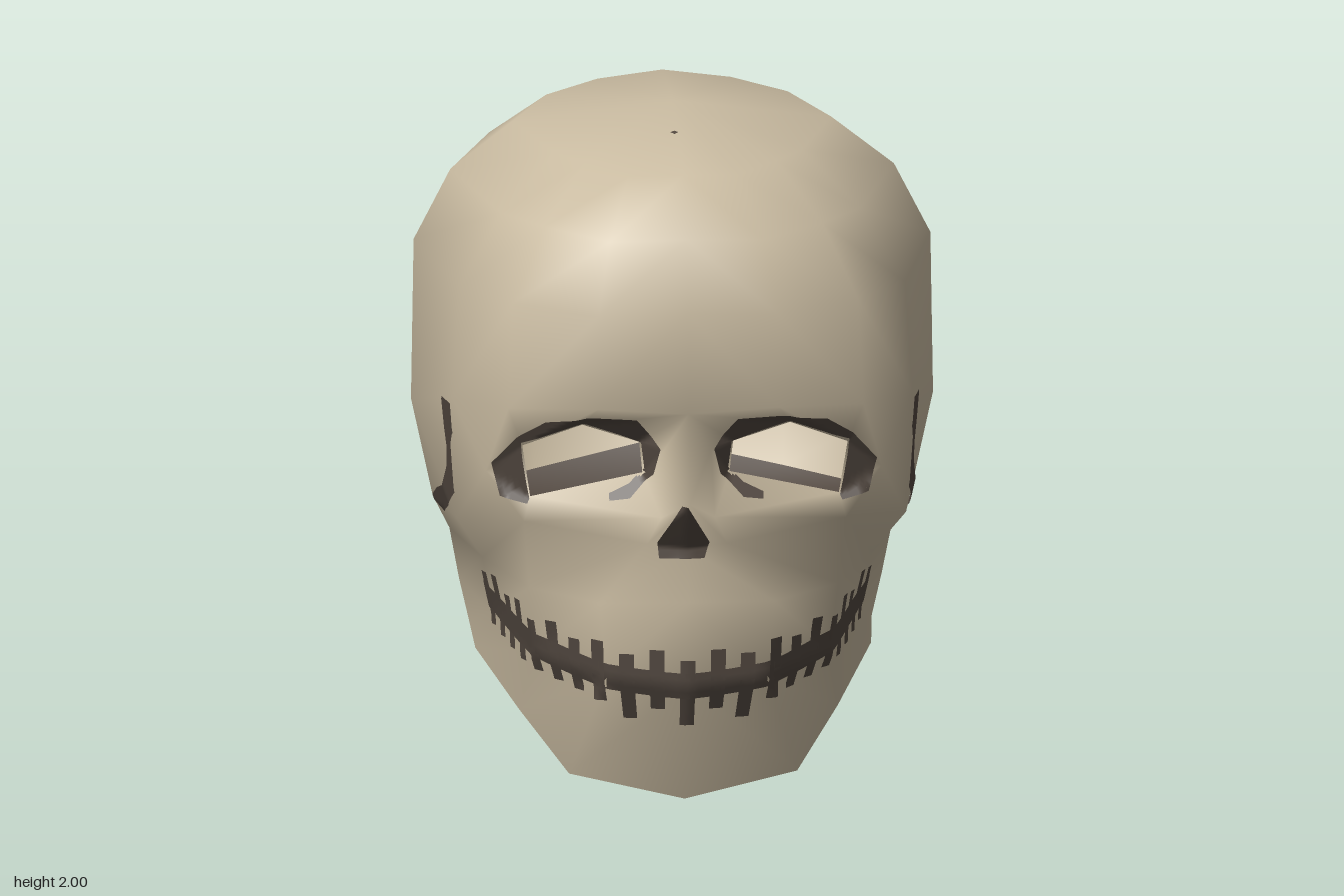
import * as THREE from 'three';

const bone = new THREE.MeshStandardMaterial({ name: 'bone', color: 0xc9bba1, side: THREE.DoubleSide });
const dark = new THREE.MeshStandardMaterial({ name: 'darkHollow', color: 0x524840, side: THREE.DoubleSide });

// Mirrored surface from named points (x >= 0) and groups of faces, one material per group
function mirroredMesh(name, points, groups) {
  const pos = [], ids = {}, index = [];
  for (const [key, [x, y, z]] of Object.entries(points)) {
    const right = pos.push(x, y, z) / 3 - 1;
    ids[key] = [right, x === 0 ? right : pos.push(-x, y, z) / 3 - 1];
  }
  const geo = new THREE.BufferGeometry();
  groups.forEach(({ faces }, m) => {
    const start = index.length;
    for (const f of faces) {
      const k = f.split(' ');
      for (let i = 1; i < k.length - 1; i++) {
        const [a, b, c] = [ids[k[0]], ids[k[i]], ids[k[i + 1]]];
        index.push(a[0], b[0], c[0], a[1], c[1], b[1]);
      }
    }
    geo.addGroup(start, index.length - start, m);
  });
  geo.setAttribute('position', new THREE.Float32BufferAttribute(pos, 3));
  geo.setIndex(index);
  geo.computeVertexNormals();
  const mesh = new THREE.Mesh(geo, groups.map(g => g.material));
  mesh.name = name;
  return mesh;
}

// Quads between two named rows, upper row first
function band(upper, lower, from, to) {
  const out = [];
  for (let c = from; c < to; c++) out.push(`${upper}${c} ${lower}${c} ${lower}${c + 1} ${upper}${c + 1}`);
  return out;
}

const lerp = THREE.MathUtils.lerp;
const ray = new THREE.Raycaster();

// Thin painted ribbon laid on the surface; each rail pair is [u1, v1, u2, v2] and toRay maps (u, v) to a ray
function paint(name, target, pairs, toRay, along = 8, across = 5) {
  const pos = [], ok = [], index = [], n = across + 1;
  const rows = (pairs.length - 1) * along;
  for (let i = 0; i <= rows; i++) {
    const k = Math.min(Math.floor(i / along), pairs.length - 2), t = i / along - k;
    const p = pairs[k].map((v, j) => lerp(v, pairs[k + 1][j], t));
    for (let j = 0; j <= across; j++) {
      const { origin, dir } = toRay(lerp(p[0], p[2], j / across), lerp(p[1], p[3], j / across));
      ray.set(origin, dir);
      const hit = ray.intersectObject(target)[0];
      const good = hit && hit.distance < 2.6;
      ok.push(good);
      const q = good ? hit.point.clone().addScaledVector(dir, -0.006) : origin;
      pos.push(q.x, q.y, q.z);
    }
  }
  for (let i = 0; i < rows; i++) for (let j = 0; j < across; j++) {
    const a = i * n + j, b = a + 1, c = a + n, d = c + 1;
    if (ok[a] && ok[b] && ok[c] && ok[d]) index.push(a, c, b, b, c, d);
  }
  const geo = new THREE.BufferGeometry();
  geo.setAttribute('position', new THREE.Float32BufferAttribute(pos, 3));
  geo.setIndex(index);
  geo.computeVertexNormals();
  const mesh = new THREE.Mesh(geo, dark);
  mesh.name = name;
  return mesh;
}

export function createModel() {
  const group = new THREE.Group();
  group.name = 'skull';
  const P = { A: [0, 2, 0.05] };
  const row = (name, first, pts) => pts.forEach((p, i) => { P[name + (first + i)] = p; });

  // Cranium rings: name, width scale, corner pull, front y and z, back y and z
  const plan = [[0, 0.82], [0.27, 0.83], [0.53, 0.69], [0.685, 0.52], [0.778, 0], [0.67, -0.51], [0.37, -0.81], [0, -0.885]];
  for (const [name, sx, pull, yF, zF, yB, zB] of [
    ['B', 0.61, 0.88, 1.89, 0.57, 1.97, -0.49],
    ['C', 0.85, 0.92, 1.73, 0.74, 1.84, -0.66],
    ['D', 0.99, 0.98, 1.52, 0.81, 1.63, -0.76],
    ['E', 1, 1, 1.22, 0.83, 1.16, -0.885],
  ]) {
    row(name, 0, plan.map(([x, z], c) => {
      const zz = z > 0 ? z * zF / 0.83 : z * zB / -0.885;
      const k = [2, 3, 5, 6].includes(c) ? pull : 1;
      return [x * sx * k, lerp(yB, yF, (zz - zB) / (zF - zB)), zz * k];
    }));
  }
  P.E1[1] = 1.24;
  P.E4[1] = 1.09;
  P.E5[1] = 1.13;

  // Jaw rim, tooth line, upper jaw and cheek rows, from the middle to the jaw corner
  row('L', 0, [[0, 0, 0.62], [0.34, 0.065, 0.55], [0.475, 0.21, 0.32], [0.59, 0.34, 0.06], [0.6, 0.39, -0.08]]);
  row('M', 0, [[0, 0.38, 0.785], [0.24, 0.4, 0.74], [0.44, 0.43, 0.52], [0.55, 0.48, 0.2], [0.63, 0.52, -0.08]]);
  row('N', 0, [[0, 0.64, 0.8], [0.26, 0.63, 0.75], [0.46, 0.64, 0.57], [0.58, 0.66, 0.25], [0.66, 0.68, -0.06]]);
  row('O', 0, [[0, 0.8, 0.775], [0.12, 0.81, 0.755], [0.48, 0.86, 0.65], [0.67, 0.83, 0.46], [0.71, 0.78, -0.05]]);

  // Nose tip, nose sides, outer eye corner and eye opening
  P.T = [0, 0.96, 0.89];
  P.Q = [0.08, 0.9, 0.8];
  P.R = [0.07, 1.1, 0.77];
  P.P = [0.59, 1, 0.58];
  row('h', 0, [[0.14, 1.11, 0.7], [0.31, 1.165, 0.7], [0.485, 1.09, 0.64], [0.46, 0.93, 0.62], [0.13, 1.015, 0.69]]);

  // Lower back of the cranium and its base
  row('F', 5, [[0.665, 0.9, -0.53], [0.38, 0.92, -0.78], [0, 0.92, -0.84]]);
  row('G', 4, [[0.64, 0.66, -0.1], [0.63, 0.685, -0.51], [0.37, 0.72, -0.65], [0, 0.79, -0.725]]);
  row('H', 4, [[0.5, 0.53, -0.12], [0.5, 0.62, -0.42], [0.3, 0.66, -0.57], [0, 0.67, -0.61]]);
  row('I', 5, [[0.36, 0.55, -0.32], [0.2, 0.55, -0.33], [0, 0.55, -0.33]]);
  P.K = [0, 0.51, -0.13];

  const crown = [0, 1, 2, 3, 4, 5, 6].map(c => `A B${c} B${c + 1}`);
  const face = [
    'h1 E1 E0', 'h0 h1 E0', 'R h0 E0', 'h2 E2 E1', 'h1 h2 E1', 'h2 P E2', 'h2 h3 P', 'h3 O2 P',
    'h3 Q O2', 'h3 h4 Q', 'h4 R Q', 'h4 h0 R', 'T R E0', 'T Q R', 'O1 Q T', 'O0 O1 T', 'O1 O2 Q',
    'P E3 E2', 'P O3 E3', 'O2 O3 P', 'O3 O4 E4 E3',
  ];
  const back = ['E4 O4 F5 E5', ...band('E', 'F', 5, 7), 'O4 G4 G5 F5', ...band('F', 'G', 5, 7), 'O4 N4 G4'];
  const skull = mirroredMesh('skullShell', P, [
    { material: bone, faces: [...crown, ...band('B', 'C', 0, 7), ...band('C', 'D', 0, 7), ...band('D', 'E', 0, 7),
      ...face, ...band('O', 'N', 0, 4), ...band('N', 'M', 0, 4), ...band('M', 'L', 0, 4), ...back] },
  ]);
  group.add(skull);

  // Dark base of the cranium
  const { K, H4, G4, N4, M4 } = P;
  const pick = re => Object.fromEntries(Object.entries(P).filter(([key]) => re.test(key)));
  group.add(mirroredMesh('craniumBase', pick(/^[GHIK]/), [
    { material: dark, faces: [...band('G', 'H', 4, 7), 'H4 I5 H5', ...band('H', 'I', 5, 7), 'H4 K I5', 'I5 K I6', 'I6 K I7'] },
  ]));

  // Underside of the jaw: bone rim around a dark hollow
  const under = { ...pick(/^L/), K, G4, N4, M4, U4: H4, V: [0, 0.44, 0.25] };
  [[0, 0.18, 0.52], [0.21, 0.23, 0.44], [0.32, 0.32, 0.26], [0.4, 0.43, 0.06]].forEach((p, i) => { under['U' + i] = p; });
  group.add(mirroredMesh('jawUnderside', under, [
    { material: bone, faces: [...band('L', 'U', 0, 4), 'M4 L4 U4', 'N4 M4 U4 G4'] },
    { material: dark, faces: ['U0 V U1', 'U1 V U2', 'U2 V U3', 'U3 V U4', 'U4 V K'] },
  ]));

  // Ray directions for paint: around the jaw, from the side, from the front, from above
  const around = (a, y) => {
    const dir = new THREE.Vector3(-Math.sin(a), 0, -Math.cos(a));
    return { origin: new THREE.Vector3(0, y, 0).addScaledVector(dir, -2.5), dir };
  };
  const fromSide = s => (z, y) => ({ origin: new THREE.Vector3(2.5 * s, y, z), dir: new THREE.Vector3(-s, 0, 0) });
  const fromFront = s => (x, y) => ({ origin: new THREE.Vector3(x * s, y, 2.8), dir: new THREE.Vector3(0, 0, -1) });
  const fromAbove = (x, z) => ({ origin: new THREE.Vector3(x, 3, z), dir: new THREE.Vector3(0, -1, 0) });

  // Tooth line with upright gaps
  const gumY = a => 0.38 + 0.165 * Math.pow(Math.abs(a) / 1.22, 1.4);
  const line = [], steps = 28;
  for (let i = 0; i <= steps; i++) {
    const a = lerp(-1.21, 1.21, i / steps);
    line.push([a, gumY(a) - 0.042, a, gumY(a) + 0.04]);
  }
  group.add(paint('toothLine', skull, line, around, 2, 4));
  for (let i = -10; i <= 10; i++) {
    const a = i * 0.117, y = gumY(a), w = 0.029;
    const up = i % 2 ? 0.105 : 0.08, down = Math.abs(i) < 3 && i % 2 === 0 ? 0.13 : 0.085;
    group.add(paint('toothGap', skull, [[a - w, y - down, a - w, y + up], [a + w, y - down, a + w, y + up]], around, 3, 10));
  }

  // Nasal opening and a small pit on the crown
  group.add(paint('nasalOpening', skull, [[-0.022, 0.95, -0.005, 0.95], [-0.09, 0.82, 0.065, 0.82], [-0.085, 0.77, 0.05, 0.77]], fromFront(1)));
  group.add(paint('crownPit', skull, [[-0.022, 0.28, -0.01, 0.27], [-0.01, 0.293, 0.002, 0.28]], fromAbove, 1, 1));

  // Eye socket shading and temple grooves on both sides
  const socket = [
    [0.23, 0.935, 0.23, 0.955], [0.17, 0.945, 0.17, 0.985], [0.1, 1.02, 0.125, 1.03], [0.08, 1.1, 0.135, 1.11], [0.15, 1.19, 0.2, 1.135],
    [0.3, 1.2, 0.31, 1.172], [0.42, 1.18, 0.4, 1.137], [0.5, 1.12, 0.49, 1.1], [0.575, 1.03, 0.485, 1.05], [0.55, 0.93, 0.472, 0.97], [0.47, 0.91, 0.463, 0.925],
  ];
  const temple = [
    [0.505, 1.19, 0.4, 1.19], [0.505, 1.1, 0.41, 1.1], [0.475, 1.06, 0.425, 1.04], [0.475, 0.91, 0.41, 0.98],
    [0.38, 0.85, 0.33, 0.9], [0.2, 0.79, 0.18, 0.86], [0.02, 0.785, 0.01, 0.8],
  ];
  for (const s of [1, -1]) {
    group.add(paint('eyeSocket', skull, socket, fromFront(s)));
    group.add(paint('templeGroove', skull, temple, fromSide(s)));
  }
  return group;
}
